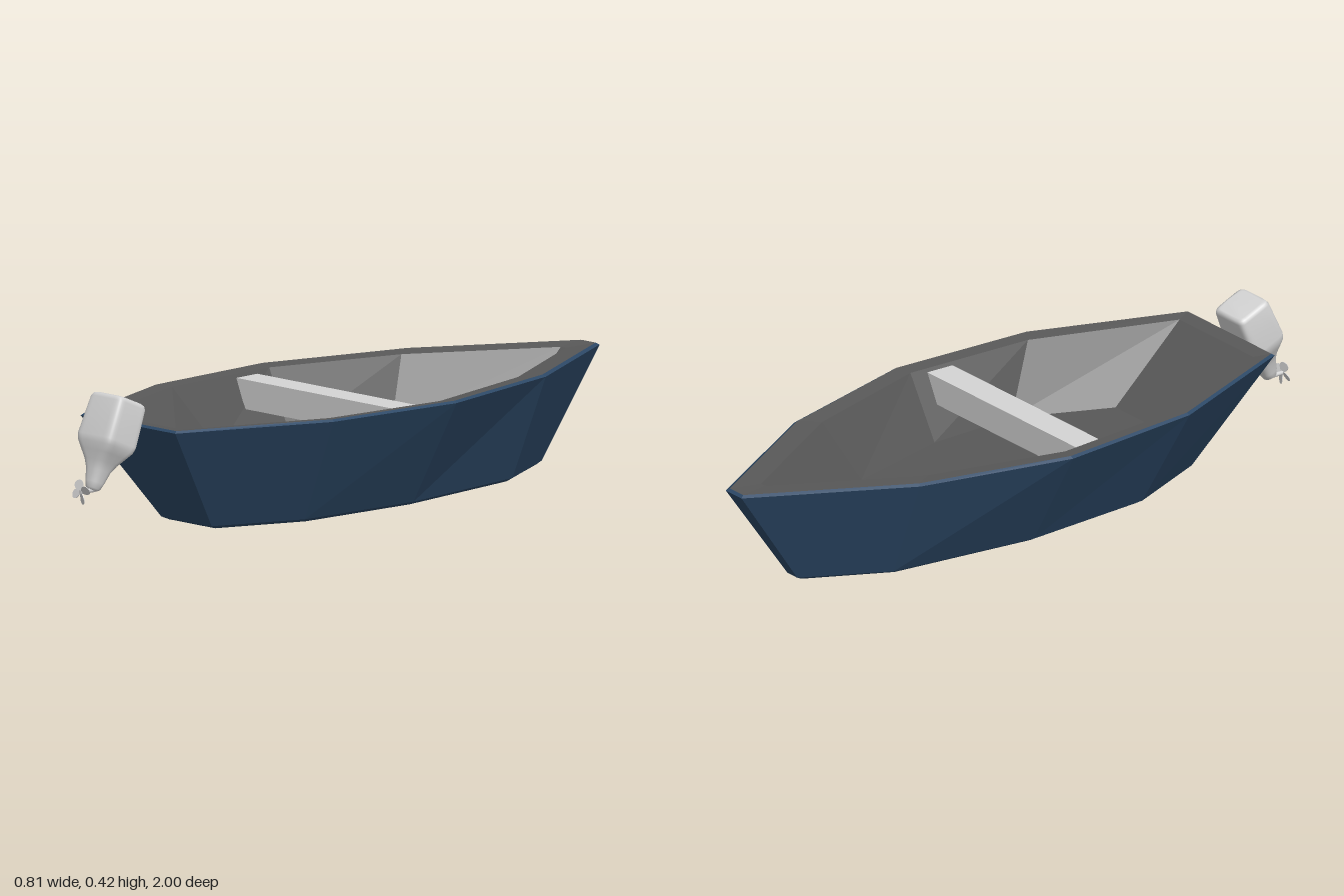
import * as THREE from 'three';

const hullBlue = new THREE.MeshStandardMaterial({ color: 0x2c4866 });
hullBlue.name = 'hull blue';
const liningGrey = new THREE.MeshStandardMaterial({ color: 0x585858 });
liningGrey.name = 'lining grey';
const paleGrey = new THREE.MeshStandardMaterial({ color: 0xd4d4d4, side: THREE.DoubleSide });
paleGrey.name = 'pale grey';

// Closed outline from [x, z] points of the left half, bow to stern, at height y
function ring(half, y) {
  const side = half.map(([x, z]) => new THREE.Vector3(x, y, z));
  const mirror = side.map(p => new THREE.Vector3(-p.x, p.y, p.z)).reverse();
  return [...side, ...mirror];
}

// Triangles joining each ring to the next one
function skin(rings) {
  const tris = [];
  for (let k = 0; k + 1 < rings.length; k++) {
    const a = rings[k], b = rings[k + 1];
    for (let i = 0; i < a.length; i++) {
      const j = (i + 1) % a.length;
      tris.push(a[i], b[i], a[j], a[j], b[i], b[j]);
    }
  }
  return tris;
}

// Fan filling a convex outline
function fan(pts, flip = false) {
  const tris = [];
  for (let i = 1; i + 1 < pts.length; i++) {
    tris.push(pts[0], pts[flip ? i + 1 : i], pts[flip ? i : i + 1]);
  }
  return tris;
}

function facetMesh(name, tris, material) {
  const g = new THREE.BufferGeometry().setFromPoints(tris);
  g.computeVertexNormals();
  return add(name, g, material);
}

function add(name, geometry, material) {
  const m = new THREE.Mesh(geometry, material);
  m.name = name;
  return m;
}

function createHull() {
  const hull = new THREE.Group();
  hull.name = 'hull';
  const keel = ring([[0.018, -0.765], [0.145, -0.53], [0.21, -0.09], [0.195, 0.30], [0.095, 0.56]], 0);
  const chine = ring([[0.022, -0.785], [0.158, -0.542], [0.227, -0.09], [0.21, 0.318], [0.104, 0.582]], 0.01);
  const gunwale = ring([[0.036, -0.998], [0.287, -0.55], [0.405, -0.09], [0.372, 0.36], [0.195, 0.81]], 0.319);
  const rimOuter = ring([[0.03, -0.988], [0.278, -0.546], [0.396, -0.09], [0.364, 0.356], [0.19, 0.802]], 0.325);
  const rimInner = ring([[0.01, -0.89], [0.24, -0.485], [0.352, -0.075], [0.325, 0.33], [0.168, 0.755]], 0.32);
  const floor = ring([[0.008, -0.69], [0.18, -0.39], [0.255, -0.065], [0.255, 0.215], [0.127, 0.49]], 0.135);

  // Outer shell with the after part of the bottom
  hull.add(facetMesh('outerShell', [
    ...skin([keel, chine, gunwale, rimOuter]),
    ...fan(keel.slice(2, 8)),
  ], hullBlue));
  // Forward part of the bottom
  hull.add(facetMesh('forwardBottom', fan([...keel.slice(7), ...keel.slice(0, 3)]), liningGrey));
  // Rim, inner walls and floor
  hull.add(facetMesh('innerLining', [
    ...skin([rimOuter, rimInner, floor]),
    ...fan(floor, true),
  ], liningGrey));
  return hull;
}

// Bench whose ends slope with the inner walls
function createSeat() {
  const seat = new THREE.BoxGeometry(0.69, 0.085, 0.087);
  const p = seat.attributes.position;
  for (let i = 0; i < p.count; i++) {
    if (p.getY(i) < 0) p.setX(i, Math.sign(p.getX(i)) * 0.3);
  }
  seat.translate(0, 0.2675, 0.023);
  seat.computeVertexNormals();
  return add('seat', seat, paleGrey);
}

// Smooth cowl lofted through rounded-rectangle sections
function createCowl() {
  // distance down the axis, half width, half depth, squareness
  const sections = [
    [0, 0.052, 0.046, 0.28], [0.004, 0.061, 0.054, 0.28], [0.014, 0.066, 0.058, 0.28],
    [0.07, 0.069, 0.06, 0.28], [0.125, 0.071, 0.062, 0.28], [0.143, 0.069, 0.059, 0.32],
    [0.165, 0.057, 0.05, 0.4], [0.19, 0.042, 0.04, 0.55], [0.215, 0.032, 0.032, 0.7],
    [0.25, 0.025, 0.026, 0.8], [0.268, 0.02, 0.021, 0.9], [0.274, 0.012, 0.013, 1],
  ];
  const n = 40, pos = [], index = [];
  const soft = (v, e) => Math.sign(v) * Math.abs(v) ** e;
  for (const [s, w, d, e] of sections) {
    for (let i = 0; i < n; i++) {
      const t = (i / n) * Math.PI * 2;
      pos.push(w * soft(Math.cos(t), e), -s, d * soft(Math.sin(t), e));
    }
  }
  for (let k = 0; k + 1 < sections.length; k++) {
    for (let i = 0; i < n; i++) {
      const a = k * n + i, b = k * n + (i + 1) % n;
      index.push(a, b, a + n, b, b + n, a + n);
    }
  }
  // End caps
  const last = (sections.length - 1) * n;
  for (let i = 1; i + 1 < n; i++) {
    index.push(0, i + 1, i, last, last + i, last + i + 1);
  }
  const g = new THREE.BufferGeometry();
  g.setAttribute('position', new THREE.Float32BufferAttribute(pos, 3));
  g.setIndex(index);
  g.computeVertexNormals();
  return add('motorCowl', g, paleGrey);
}

function createPropeller() {
  const prop = new THREE.Group();
  prop.name = 'propeller';
  const shaft = add('shaft', new THREE.CylinderGeometry(0.006, 0.007, 0.055, 12), paleGrey);
  shaft.rotation.x = Math.PI / 2;
  shaft.position.z = -0.024;
  prop.add(shaft);
  // Four pitched blades
  const outline = new THREE.Shape();
  outline.moveTo(-0.004, 0.003);
  outline.bezierCurveTo(-0.022, 0.016, -0.016, 0.036, 0.002, 0.036);
  outline.bezierCurveTo(0.018, 0.034, 0.014, 0.014, 0.004, 0.003);
  const bladeShape = new THREE.ExtrudeGeometry(outline, { depth: 0.002, bevelEnabled: false, curveSegments: 8 });
  for (let i = 0; i < 4; i++) {
    const arm = new THREE.Group();
    arm.name = 'bladeArm';
    arm.rotation.z = 0.3 + i * Math.PI / 2;
    const blade = add('blade', bladeShape, paleGrey);
    blade.rotation.y = 0.4;
    arm.add(blade);
    prop.add(arm);
  }
  prop.position.set(0, 0.148, 0.993);
  return prop;
}

export function createModel() {
  const boat = new THREE.Group();
  boat.name = 'motorBoat';
  boat.add(createHull(), createSeat());

  // Outboard motor leaning away from the stern
  const motor = new THREE.Group();
  motor.name = 'outboardMotor';
  const cowl = createCowl();
  cowl.position.set(0, 0.4, 0.843);
  cowl.rotation.x = -0.4;
  motor.add(cowl, createPropeller());
  boat.add(motor);
  return boat;
}
